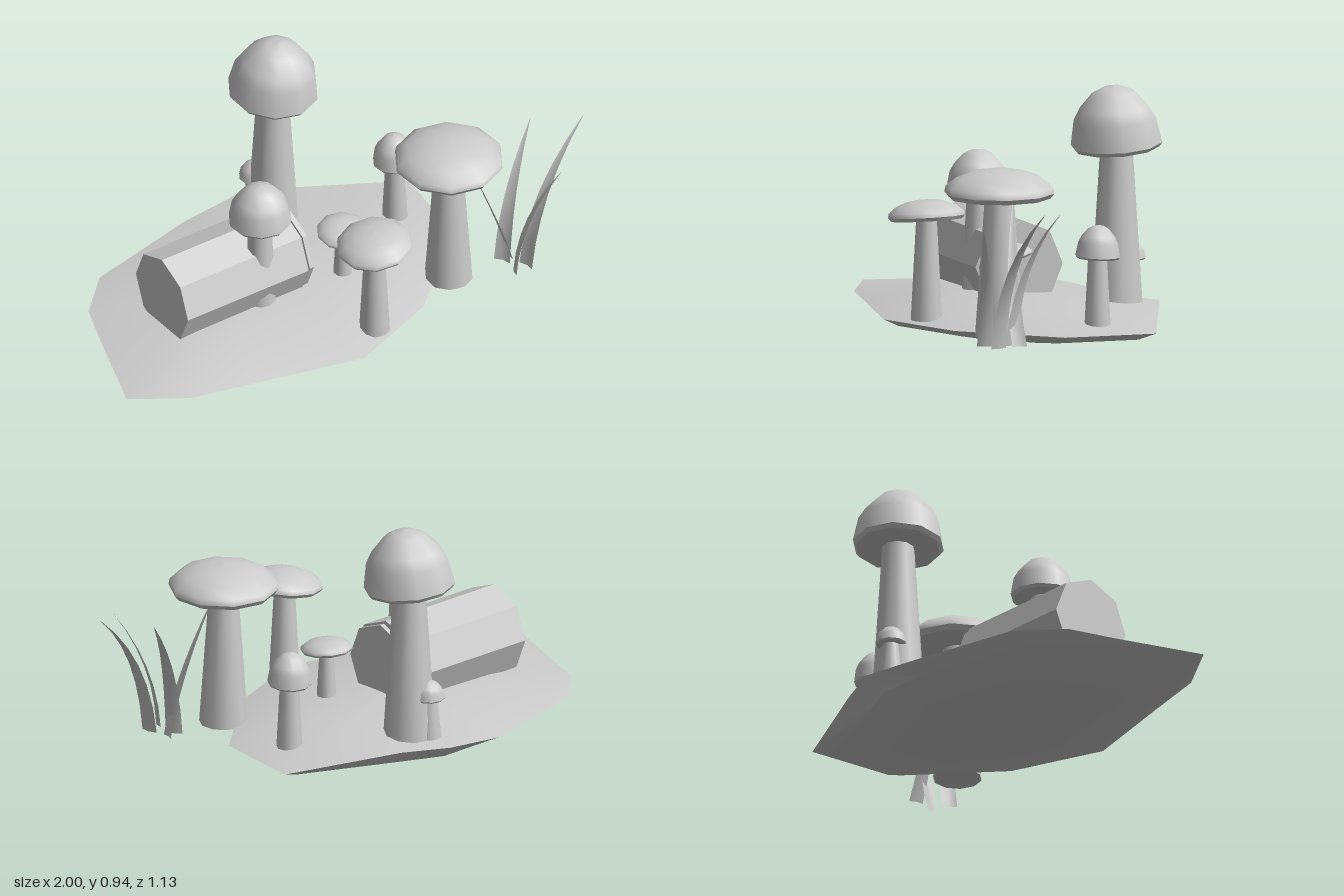
import * as THREE from 'three';
import { toCreasedNormals } from 'three/addons/utils/BufferGeometryUtils.js';

const grey = new THREE.MeshStandardMaterial({ color: 0xcccccc, side: THREE.DoubleSide });
grey.name = 'grey';

function add(parent, geometry, name) {
  const mesh = new THREE.Mesh(geometry, grey);
  mesh.name = name;
  parent.add(mesh);
  return mesh;
}

function surface(positions, indices) {
  const g = new THREE.BufferGeometry();
  g.setAttribute('position', new THREE.Float32BufferAttribute(positions, 3));
  g.setIndex(indices);
  g.computeVertexNormals();
  return g;
}

// Irregular lens-shaped ground: the rim outline shrinks to the middle above and below
function ground() {
  const rim = [ // x, y, z
    [-1, 0.075, 0.14], [-0.85, 0.075, -0.2], [-0.775, 0.08, -0.365], [-0.61, 0.08, -0.5],
    [-0.145, 0.075, -0.57], [0.095, 0.1, -0.55], [0.27, 0.105, -0.455], [0.675, 0.075, -0.23],
    [0.605, 0.075, 0.12], [0.235, 0.07, 0.4], [-0.14, 0.07, 0.505], [-0.54, 0.07, 0.37],
    [-0.8, 0.07, 0.285],
  ];
  const rings = [[0.02, 0.145], [0.55, 0.13], [1, null], [0.88, 0.04], [0.55, 0.003], [0.02, 0]];
  const cx = -0.14, cz = -0.03, n = rim.length;
  const pos = [], idx = [];
  for (const [s, y] of rings)
    for (const p of rim) pos.push(cx + (p[0] - cx) * s, y ?? p[1], cz + (p[2] - cz) * s);
  for (let k = 0; k < rings.length - 1; k++)
    for (let i = 0; i < n; i++) {
      const j = (i + 1) % n;
      const a = k * n + i, b = k * n + j, c = a + n, d = b + n;
      idx.push(a, b, c, b, d, c);
    }
  // Close the small centre openings
  const last = (rings.length - 1) * n;
  for (let i = 1; i < n - 1; i++) {
    idx.push(0, i + 1, i);
    idx.push(last, last + i, last + i + 1);
  }
  return toCreasedNormals(surface(pos, idx), 0.5);
}

// Cap outlines as [radius, height] fractions, rim to tip
const CAPS = {
  bell: [[1, 0], [0.9, 0.43], [0.75, 0.64], [0.47, 0.88], [0.24, 0.97], [0, 1]],
  flat: [[1, 0], [0.98, 0.25], [0.78, 0.62], [0.5, 0.87], [0.25, 0.97], [0, 1]],
};

function mushroom({ name, kind, x, z, foot, rim, top, r, stemTop, stemFoot, tiltX = 0, tiltZ = 0 }) {
  const group = new THREE.Group();
  group.name = name;
  group.position.set(x, 0, z);
  const h = rim - foot + 0.02;
  add(group, new THREE.CylinderGeometry(stemTop, stemFoot, h, 10), 'stem').position.y = foot + h / 2;

  const cap = new THREE.Group();
  cap.name = 'cap';
  cap.position.y = rim;
  cap.rotation.set(tiltX, 0, tiltZ);
  group.add(cap);
  const lathe = pts => new THREE.LatheGeometry(pts.map(p => new THREE.Vector2(p[0], p[1])), 10);
  add(cap, lathe(CAPS[kind].map(([a, b]) => [a * r, b * (top - rim)])), 'capDome');
  const lip = r * 0.09;
  add(cap, lathe([[r * 0.93, -lip], [r, 0]]), 'capLip');
  add(cap, lathe([[0, -lip], [r * 0.93, -lip]]), 'capUnderside');
  return group;
}

// Tapering ribbon along a curve, widest near the root
function blade(root, mid, tip, width) {
  const curve = new THREE.QuadraticBezierCurve3(
    new THREE.Vector3(...root), new THREE.Vector3(...mid), new THREE.Vector3(...tip));
  const dir = new THREE.Vector3(tip[0] - root[0], 0, tip[2] - root[2]).normalize();
  const side = new THREE.Vector3(-dir.z, 0, dir.x);
  const pos = [], idx = [], steps = 6;
  for (let i = 0; i <= steps; i++) {
    const t = i / steps;
    const p = curve.getPoint(t);
    const w = width * (1 - t ** 1.5) / 2 + 0.001;
    const fold = dir.clone().multiplyScalar(w * 0.25);
    for (const s of [-1, 0, 1]) {
      const q = p.clone().addScaledVector(side, s * w);
      if (s === 0) q.add(fold);
      pos.push(q.x, q.y, q.z);
    }
  }
  for (let i = 0; i < steps; i++)
    for (let k = 0; k < 2; k++) {
      const a = i * 3 + k;
      idx.push(a, a + 1, a + 3, a + 1, a + 4, a + 3);
    }
  return surface(pos, idx);
}

export function createModel() {
  const model = new THREE.Group();
  model.name = 'mushroomPatch';
  add(model, ground(), 'ground');

  // Mushrooms
  const patch = [
    { name: 'tallMushroom', kind: 'bell', x: 0.115, z: -0.355, foot: 0.1, rim: 0.715, top: 0.94, r: 0.175, stemTop: 0.06, stemFoot: 0.1, tiltX: 0.09, tiltZ: -0.04, },
    { name: 'wideMushroom', kind: 'flat', x: 0.43, z: 0.31, foot: 0.07, rim: 0.62, top: 0.71, r: 0.21, stemTop: 0.053, stemFoot: 0.093 },
    { name: 'frontMushroom', kind: 'flat', x: 0, z: 0.395, foot: 0.08, rim: 0.475, top: 0.54, r: 0.147, stemTop: 0.038, stemFoot: 0.06, tiltZ: 0.12 },
    { name: 'logMushroom', kind: 'bell', x: -0.265, z: 0.035, foot: 0.13, rim: 0.515, top: 0.67, r: 0.122, stemTop: 0.043, stemFoot: 0.062 },
    { name: 'smallMushroom', kind: 'flat', x: 0.085, z: 0.1, foot: 0.13, rim: 0.32, top: 0.362, r: 0.1, stemTop: 0.025, stemFoot: 0.037, tiltX: 0.1, tiltZ: 0.03 },
    { name: 'sideMushroom', kind: 'bell', x: 0.485, z: -0.08, foot: 0.09, rim: 0.355, top: 0.475, r: 0.085, stemTop: 0.035, stemFoot: 0.05, tiltX: -0.05 },
    { name: 'tinyMushroom', kind: 'bell', x: 0.085, z: -0.428, foot: 0.11, rim: 0.27, top: 0.338, r: 0.06, stemTop: 0.028, stemFoot: 0.047 },
  ];
  for (const m of patch) model.add(mushroom(m));

  // Lying octagonal log with a groove and end disc
  const log = new THREE.Group();
  log.name = 'log';
  log.position.set(-0.637, 0.245, -0.095);
  log.rotation.y = -0.091;
  model.add(log);
  for (const [name, start, length, radius] of [
    ['logBody', 0, 0.55, 0.176], ['logNeck', 0.54, 0.025, 0.15], ['logEndDisc', 0.56, 0.02, 0.168],
  ]) {
    const g = new THREE.CylinderGeometry(radius, radius, length, 8);
    const part = add(log, toCreasedNormals(g, 0.6), name);
    part.rotation.z = -Math.PI / 2;
    part.position.x = start + length / 2;
  }

  // Grass tuft
  const grass = new THREE.Group();
  grass.name = 'grass';
  model.add(grass);
  const blades = [
    [[0.69, 0.07, 0.45], [0.73, 0.4, 0.45], [1, 0.62, 0.415], 0.065],
    [[0.64, 0.07, 0.37], [0.67, 0.38, 0.36], [0.855, 0.59, 0.275], 0.065],
    [[0.62, 0.07, 0.47], [0.64, 0.33, 0.47], [0.775, 0.545, 0.56], 0.06],
    [[0.69, 0.07, 0.36], [0.62, 0.3, 0.37], [0.505, 0.61, 0.29], 0.055],
  ];
  for (const b of blades) add(grass, blade(...b), 'grassBlade');

  return model;
}
